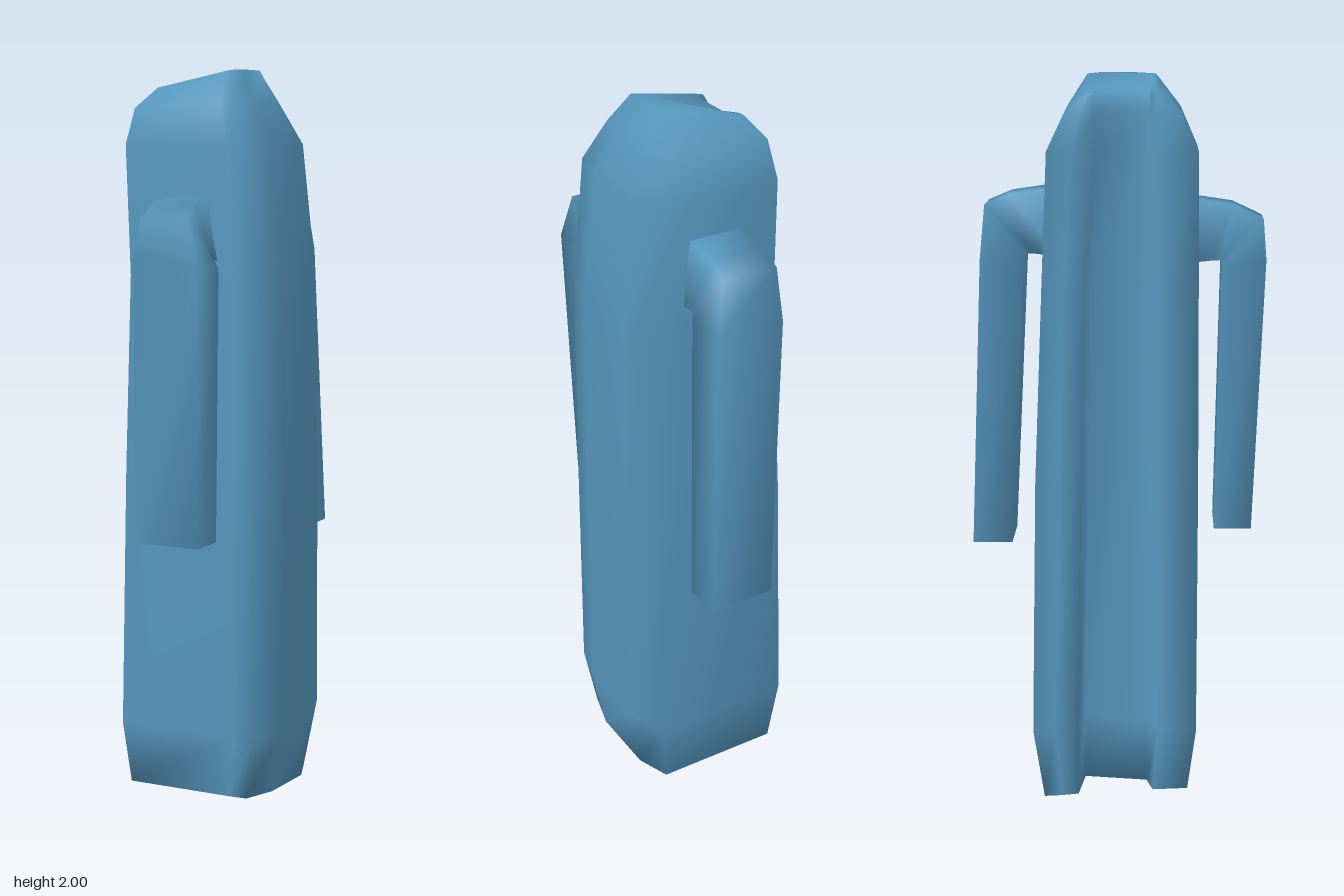
import * as THREE from 'three';

const material = new THREE.MeshStandardMaterial({ color: 0x5596bd });

// Skin a stack of rings (bottom to top, each running clockwise from above)
function loft(name, rings, capTop) {
  const n = rings[0].length;
  const index = [];
  for (let r = 0; r < rings.length - 1; r++) {
    for (let i = 0; i < n; i++) {
      const a = r * n + i, b = r * n + (i + 1) % n;
      index.push(a, a + n, b, b, a + n, b + n);
    }
  }
  const cap = (r, up) => {
    const flat = rings[r].map(([x, , z]) => new THREE.Vector2(x, z));
    for (const [a, b, c] of THREE.ShapeUtils.triangulateShape(flat, [])) {
      const ab = flat[b].clone().sub(flat[a]), ac = flat[c].clone().sub(flat[a]);
      const facesUp = ab.y * ac.x - ab.x * ac.y > 0;
      const tri = facesUp === up ? [a, b, c] : [a, c, b];
      index.push(...tri.map((k) => k + r * n));
    }
  };
  cap(0, false);
  if (capTop) cap(rings.length - 1, true);
  const geometry = new THREE.BufferGeometry();
  geometry.setAttribute('position', new THREE.Float32BufferAttribute(rings.flat(2), 3));
  geometry.setIndex(index);
  geometry.computeVertexNormals();
  const mesh = new THREE.Mesh(geometry, material);
  mesh.name = name;
  return mesh;
}

// C-shaped body section: left and right extents, back and front extents,
// z of the back flap's inner face, depth of the opening, slopes along x and z
function bodyRing(y, left, right, back, front, flap, deep, slopeX = 0, slopeZ = 0) {
  const notchFront = Math.min(0.115, front * 0.9);
  const section = [
    [-left, back], [right * 0.83, back], [right, back * 0.5], [right, front * 0.5],
    [right * 0.85, front * 0.98], [right * 0.6, front], [-left * 0.95, front],
    [-left * 0.94, Math.max(front * 0.55, notchFront)],
    [-0.11, Math.min(0.1, notchFront)], [deep, flap + 0.015],
    [-left * 0.97, flap], [-left, (back + flap) / 2],
  ];
  return section.map(([x, z]) => [x, y + slopeX * (x - 0.1) + slopeZ * z, z]);
}

// Sleeve section: left, right, then z and y of the inner and outer edges;
// the outer edge can be narrowed by an inset
function sleeveRing(side, [left, right, innerZ, innerY, outerZ, outerY, inset = 0]) {
  const inner = [[left, innerY, side * innerZ], [right, innerY, side * innerZ]];
  const outer = [[left + inset, outerY, side * outerZ], [right - inset, outerY, side * outerZ]];
  const [back, front] = side > 0 ? [inner, outer] : [outer, inner];
  return [back[0], back[1], front[1], front[0]];
}

export function createModel() {
  const model = new THREE.Group();
  model.name = 'hangingCoat';
  const coat = new THREE.Group();
  coat.name = 'coat';
  coat.rotation.y = 0.35;
  model.add(coat);

  // Body: narrow hem, straight sides, shoulders closing to a slanted top
  coat.add(loft('body', [
    bodyRing(0.013, 0.195, 0.2, -0.185, 0.215, -0.09, -0.06, 0, 0.06),
    bodyRing(0.2, 0.21, 0.235, -0.215, 0.238, -0.09, -0.06),
    bodyRing(0.9, 0.193, 0.235, -0.205, 0.238, -0.08, -0.07),
    bodyRing(1.45, 0.175, 0.232, -0.185, 0.235, -0.07, -0.09),
    bodyRing(1.8, 0.19, 0.192, -0.17, 0.232, -0.045, -0.11),
    bodyRing(1.91, 0.187, 0.13, -0.125, 0.185, -0.045, -0.11, 0.05),
    bodyRing(2.0, 0.15, 0.09, -0.07, 0.12, -0.045, -0.11, 0.2),
  ], true));

  // Sleeves: hang down, bending at the shoulder into the body
  const sleeves = {
    frontSleeve: [1, [
      [-0.07, 0.115, 0.285, 0.75, 0.388, 0.75],
      [-0.058, 0.13, 0.3, 1.48, 0.42, 1.5],
      [-0.06, 0.115, 0.295, 1.5, 0.412, 1.61, 0.02],
      [-0.07, 0.1, 0.27, 1.5, 0.33, 1.65, 0.025],
      [-0.085, 0.085, 0.17, 1.49, 0.17, 1.675, 0.025],
    ]],
    backSleeve: [-1, [
      [-0.047, 0.141, 0.28, 0.7, 0.39, 0.7],
      [-0.085, 0.115, 0.24, 1.5, 0.358, 1.5],
      [-0.085, 0.108, 0.235, 1.52, 0.345, 1.65, 0.015],
      [-0.088, 0.105, 0.21, 1.52, 0.28, 1.678, 0.02],
      [-0.09, 0.1, 0.13, 1.51, 0.13, 1.7, 0.02],
    ]],
  };
  for (const [name, [side, rings]] of Object.entries(sleeves)) {
    coat.add(loft(name, rings.map((ring) => sleeveRing(side, ring)), false));
  }
  return model;
}
